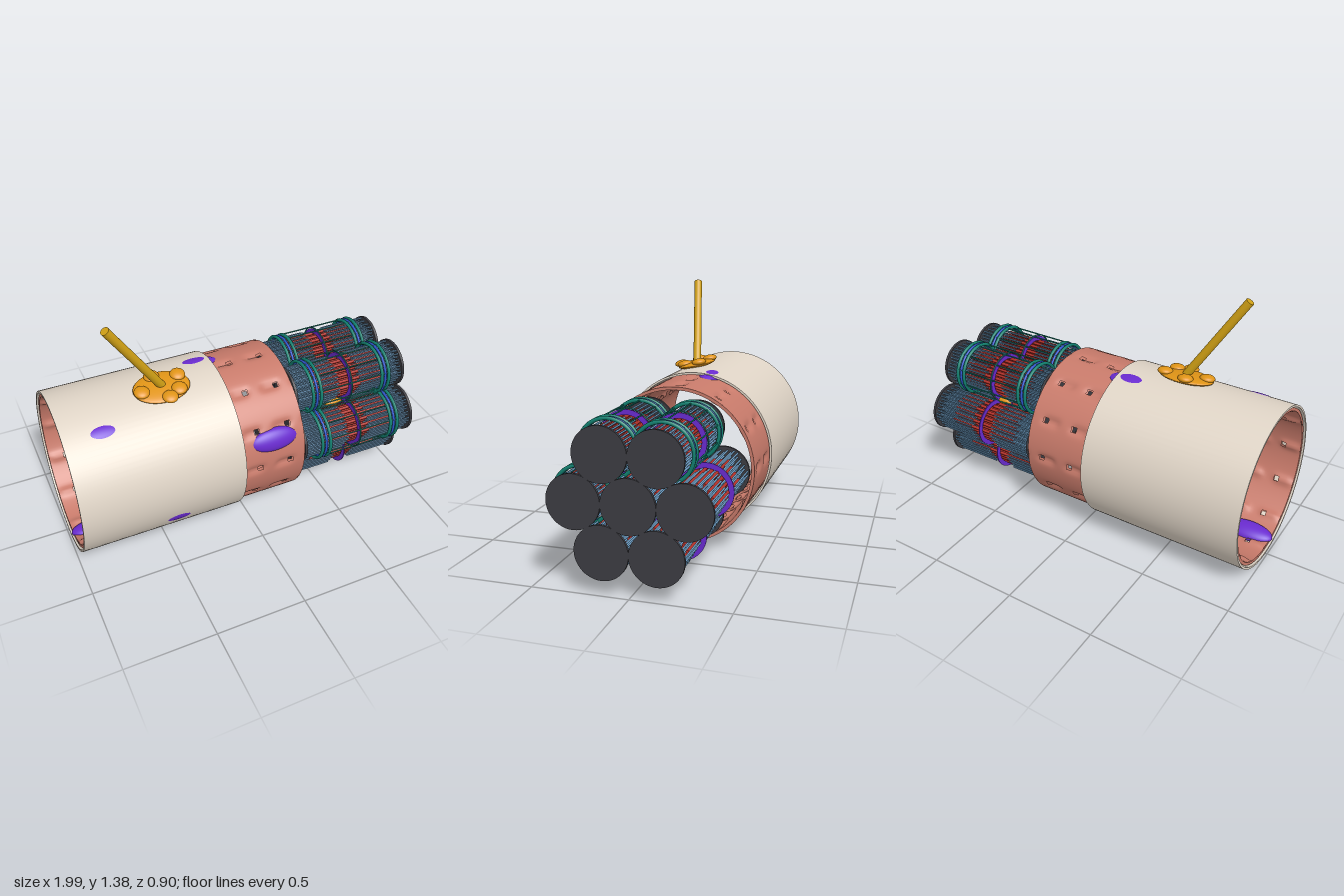
import * as THREE from 'three';
import { mergeGeometries, toCreasedNormals } from 'three/addons/utils/BufferGeometryUtils.js';

const CY = 0.45; // height of the long axis, which runs along x
const mat = (color, side = THREE.FrontSide) => new THREE.MeshStandardMaterial({ color, side });
const M = {
  sheath: mat(0xe0d5c7), membrane: mat(0xc97b6b, THREE.DoubleSide), nucleus: mat(0x6a2bd0),
  disc: mat(0x3c3c42), thin: mat(0x6b9ac0), thick: mat(0xb5322a), middle: mat(0x6a2bd0),
  net: mat(0x128070), tubule: mat(0x2f55cc), nerve: mat(0xd0a015), plate: mat(0xe09416),
};

function add(parent, name, geo, material, x = 0, y = 0, z = 0) {
  const m = new THREE.Mesh(geo, material);
  m.name = name;
  m.position.set(x, y, z);
  parent.add(m);
  return m;
}

// Cylinder along x from x0 to x1
function rod(r, x0, x1, y = 0, z = 0, sides = 6, open = false) {
  return new THREE.CylinderGeometry(r, r, x1 - x0, sides, 1, open)
    .rotateZ(-Math.PI / 2).translate((x0 + x1) / 2, y, z);
}

// Open pipe with a wall, along x
function pipe(ri, ro, x0, x1, seg) {
  const pts = [[ri, x0], [ro, x0], [ro, x1], [ri, x1], [ri, x0]].map(p => new THREE.Vector2(...p));
  return toCreasedNormals(new THREE.LatheGeometry(pts, seg), 0.6).rotateZ(-Math.PI / 2);
}

const hoop = (r, tube, x) => new THREE.TorusGeometry(r, tube, 8, 40).rotateY(Math.PI / 2).translate(x, 0, 0);

// One wall of the membrane: a dented tube with small pores in twelve rows
function membraneWall(radius) {
  const NX = 90, NA = 180, X0 = -0.98, X1 = 0.28, pos = [], idx = [];
  const nearest = x => 0.2 - 0.18 * Math.round((0.2 - x) / 0.18);
  const rowOffset = a => a - Math.round(a / 30) * 30;
  for (let i = 0; i <= NX; i++) {
    const x = X0 + (X1 - X0) * i / NX;
    const dx = x + 0.04 - nearest(x + 0.04);
    for (let j = 0; j <= NA; j++) {
      const deg = j * 360 / NA, a = THREE.MathUtils.degToRad(deg);
      const dent = Math.exp(-Math.pow(dx / 0.055, 4) - Math.pow(rowOffset(deg) / 3, 2));
      const r = radius - 0.016 * dent;
      pos.push(x, r * Math.cos(a), r * Math.sin(a));
    }
  }
  for (let i = 0; i < NX; i++) {
    const x = X0 + (X1 - X0) * (i + 0.5) / NX;
    for (let j = 0; j < NA; j++) {
      const pore = Math.abs(x - nearest(x)) < 0.0139 && Math.abs(rowOffset((j + 0.5) * 360 / NA)) < 1.5;
      if (pore) continue;
      const p = i * (NA + 1) + j, q = p + NA + 1;
      idx.push(p, p + 1, q, q, p + 1, q + 1);
    }
  }
  const g = new THREE.BufferGeometry();
  g.setAttribute('position', new THREE.Float32BufferAttribute(pos, 3));
  // wind so that the front faces outwards
  const e = new THREE.Vector3(), f = new THREE.Vector3(), o = new THREE.Vector3().fromArray(pos, 0);
  e.fromArray(pos, 3).sub(o);
  f.fromArray(pos, (NA + 1) * 3).sub(o);
  if (e.cross(f).dot(new THREE.Vector3(0, 1, 0)) < 0) idx.reverse();
  g.setIndex(idx);
  g.computeVertexNormals();
  return g;
}

// Filament bundles: thick rods on a hexagonal grid, thin rods in its triangles
function filaments() {
  const s = 0.036, h = s * Math.sqrt(3) / 2, thick = [], thin = [];
  for (let r = -5; r <= 5; r++) for (let q = -8; q <= 8; q++) {
    const z = (q + r / 2) * s, y = r * h;
    if (Math.hypot(y, z) < 0.112) thick.push(rod(0.009, 0.43, 0.865, y, z));
    for (const [dz, dy] of [[s / 2, h / 3], [s / 2, -h / 3]]) {
      if (Math.hypot(y + dy, z + dz) > 0.127) continue;
      thin.push(rod(0.005, 0.303, 0.58, y + dy, z + dz, 6, true));
      thin.push(rod(0.005, 0.71, 0.992, y + dy, z + dz, 6, true));
    }
  }
  return { thick: mergeGeometries(thick), thin: mergeGeometries(thin) };
}

export function createModel() {
  const root = new THREE.Group();
  root.name = 'muscleFibre';

  // Outer sheath and dented membrane
  add(root, 'outerSheath', pipe(0.437, 0.449, -0.99, -0.08, 96), M.sheath, 0, CY);
  const membrane = new THREE.Group();
  membrane.name = 'membrane';
  membrane.position.y = CY;
  root.add(membrane);
  add(membrane, 'membraneOuterWall', membraneWall(0.43), M.membrane);
  add(membrane, 'membraneInnerWall', membraneWall(0.413), M.membrane);
  for (const x of [-0.98, 0.28])
    add(membrane, 'membraneRim', new THREE.RingGeometry(0.413, 0.43, 96).rotateY(Math.PI / 2), M.membrane, x);

  // Nuclei lodged in the wall: x, and angle from the top towards +z
  for (const [x, deg] of [[0.105, 69], [-0.165, -10], [-0.78, 31], [-0.46, 115], [-0.85, 169]]) {
    const a = THREE.MathUtils.degToRad(deg);
    const n = add(root, 'nucleus', new THREE.SphereGeometry(1, 32, 20), M.nucleus,
      x, CY + 0.415 * Math.cos(a), 0.415 * Math.sin(a));
    n.scale.set(0.14, 0.038, 0.065);
    n.rotation.x = a;
  }

  // Seven fibrils: one in the centre, six around it
  const bundle = filaments();
  const endDisc = rod(0.137, -0.0075, 0.0075, 0, 0, 48);
  const middleRing = pipe(0.112, 0.14, 0.642, 0.648, 48);
  const netGeo = [0.40, 0.45, 0.843, 0.888].map(x => hoop(0.147, 0.01, x));
  netGeo.push(hoop(0.147, 0.004, 0.645));
  for (let i = 0; i < 10; i++) {
    const a = i * Math.PI / 5;
    netGeo.push(rod(0.004, 0.40, 0.888, 0.147 * Math.cos(a), 0.147 * Math.sin(a)));
  }
  const net = mergeGeometries(netGeo);
  const tubules = mergeGeometries([0.425, 0.866].map(x => hoop(0.145, 0.008, x)));
  for (let i = 0; i < 7; i++) {
    const a = i * Math.PI / 3, d = i === 6 ? 0 : 0.273; // angle from +z towards +y
    const fibril = new THREE.Group();
    fibril.name = 'fibril';
    fibril.position.set(0, CY + d * Math.sin(a), d * Math.cos(a));
    root.add(fibril);
    add(fibril, 'thickFilaments', bundle.thick, M.thick);
    add(fibril, 'thinFilaments', bundle.thin, M.thin);
    add(fibril, 'middleRing', middleRing, M.middle);
    for (const x of [0.303, 0.99]) add(fibril, 'endDisc', endDisc, M.disc, x);
    if (i < 3) { // only the three upper front fibrils carry the wrapping network
      add(fibril, 'wrappingNetwork', net, M.net);
      add(fibril, 'crossTubules', tubules, M.tubule);
    }
  }

  // Small energy bodies in the gaps between the outer fibrils
  [0.58, 0.58, 0.62, 0.66, 0.6, 0.69].forEach((x, i) => {
    const a = (i + 0.5) * Math.PI / 3;
    const b = add(root, 'energyBody', new THREE.SphereGeometry(1, 20, 14), M.plate,
      x, CY + 0.237 * Math.sin(a), 0.237 * Math.cos(a));
    b.scale.set(0.055, 0.02, 0.02);
  });

  // Nerve ending: flat plate with buttons, and the nerve rising from it
  const ending = new THREE.Group();
  ending.name = 'nerveEnding';
  ending.position.set(-0.41, 0.9, 0.085);
  ending.rotation.x = 0.2;
  root.add(ending);
  add(ending, 'endPlate', new THREE.SphereGeometry(1, 40, 20), M.plate).scale.set(0.155, 0.022, 0.108);
  for (const [x, z] of [[0.105, -0.045], [0.015, 0.09], [-0.115, 0.015], [0.08, 0.05], [-0.03, -0.075]])
    add(ending, 'button', new THREE.SphereGeometry(1, 24, 16), M.plate, x, 0.016, z).scale.set(0.042, 0.021, 0.042);

  const from = new THREE.Vector3(-0.405, 0.905, 0.083), to = new THREE.Vector3(-0.7, 1.373, 0.164);
  const dir = to.clone().sub(from), mid = from.clone().add(to).multiplyScalar(0.5);
  const nerve = add(root, 'nerve', new THREE.CylinderGeometry(0.023, 0.023, dir.length(), 24), M.nerve, mid.x, mid.y, mid.z);
  nerve.quaternion.setFromUnitVectors(new THREE.Vector3(0, 1, 0), dir.normalize());
  return root;
}
